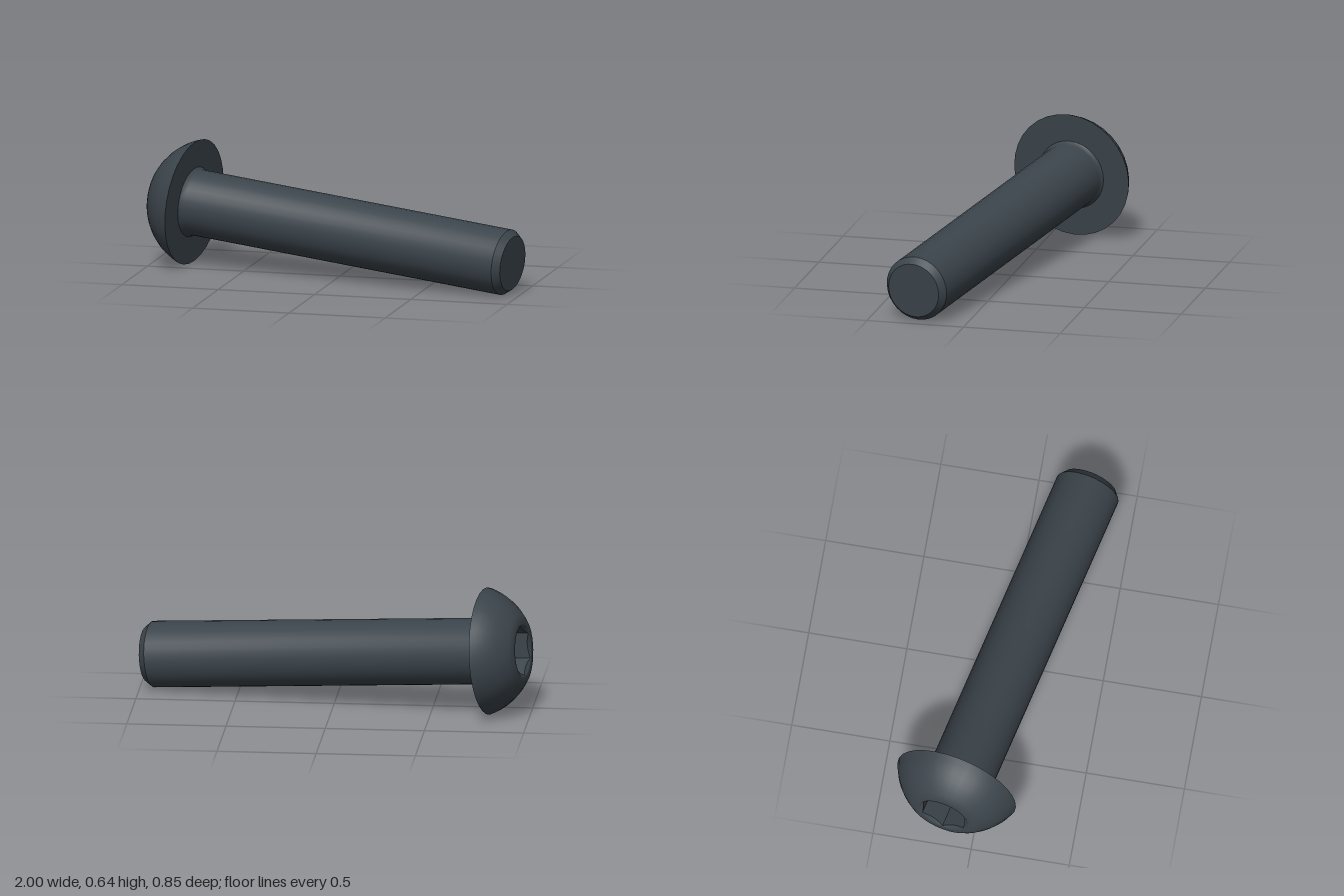
import * as THREE from 'three';
import { toCreasedNormals } from 'three/addons/utils/BufferGeometryUtils.js';

const SIDES = 32;
const HEAD_R = 0.32, HEAD_H = 0.183, FLAT_R = 0.165, RIM_R = 0.132;
const SHAFT_R = 0.167, LENGTH = 1.8;

const v2 = (r, y) => new THREE.Vector2(r, y);

// Lathe whose shallow edges are smooth and steep edges sharp
const turned = (profile) => toCreasedNormals(new THREE.LatheGeometry(profile, SIDES), 0.58);

// Hexagonal socket: chamfered mouth, six walls and a floor, built from rings
function socketGeometry() {
  const n = 96, corner = 0.128, depth = 0.115;
  const rings = [[], [], [], []];
  for (let i = 0; i <= n; i++) {
    const a = (i / n) * Math.PI * 2;
    const inSide = (a % (Math.PI / 3)) - Math.PI / 6;
    const hexR = (corner * Math.cos(Math.PI / 6)) / Math.cos(inSide);
    const at = (r, y) => new THREE.Vector3(r * Math.sin(a), y, r * Math.cos(a));
    rings[0].push(at(RIM_R, -HEAD_H));
    rings[1].push(at(hexR, -HEAD_H + (RIM_R - hexR) * 0.6));
    rings[2].push(at(hexR, -HEAD_H + depth));
    rings[3].push(at(0, -HEAD_H + depth));
  }
  const points = [];
  for (let k = 0; k < 3; k++) {
    for (let i = 0; i < n; i++) {
      const a = rings[k][i], b = rings[k][i + 1];
      const c = rings[k + 1][i], d = rings[k + 1][i + 1];
      points.push(a, c, b);
      if (k < 2) points.push(b, c, d);
    }
  }
  const geometry = new THREE.BufferGeometry().setFromPoints(points);
  geometry.computeVertexNormals();
  return toCreasedNormals(geometry, 0.5);
}

export function createModel() {
  const steel = new THREE.MeshStandardMaterial({ color: 0x3b444b });
  steel.name = 'dark steel';
  const socketSteel = steel.clone();
  socketSteel.name = 'dark steel socket';
  socketSteel.side = THREE.DoubleSide;

  const bolt = new THREE.Group();
  bolt.name = 'bolt';
  const add = (name, geometry, material = steel) => {
    const mesh = new THREE.Mesh(geometry, material);
    mesh.name = name;
    bolt.add(mesh);
  };

  // Button head: flat ring, spherical dome, flat underside
  const centre = (FLAT_R ** 2 + HEAD_H ** 2 - HEAD_R ** 2) / (2 * HEAD_H);
  const domeR = Math.hypot(HEAD_R, centre);
  const start = Math.asin(FLAT_R / domeR), end = Math.asin(HEAD_R / domeR);
  const head = [v2(RIM_R, -HEAD_H)];
  for (let i = 0; i <= 8; i++) {
    const a = start + ((end - start) * i) / 8;
    head.push(v2(domeR * Math.sin(a), -centre - domeR * Math.cos(a)));
  }
  head.push(v2(SHAFT_R, 0));
  add('head', turned(head));
  add('hexSocket', socketGeometry(), socketSteel);

  // Shaft: small fillet at the head, chamfer at the tip
  add('shaft', turned([
    v2(SHAFT_R + 0.012, 0), v2(SHAFT_R + 0.004, 0.008), v2(SHAFT_R, 0.024),
    v2(SHAFT_R, LENGTH - 0.035), v2(0.14, LENGTH), v2(0, LENGTH),
  ]));

  // Lay the bolt along its tilted axis
  const axis = new THREE.Vector3(0.974, -0.0865, 0.209).normalize();
  const up = new THREE.Vector3(0, 1, 0).addScaledVector(axis, -axis.y).normalize();
  const side = new THREE.Vector3().crossVectors(axis, up);
  bolt.quaternion.setFromRotationMatrix(new THREE.Matrix4().makeBasis(side, axis, up));
  bolt.position.set(-0.787, 0.32, -0.11);

  const model = new THREE.Group();
  model.name = 'buttonHeadBolt';
  model.add(bolt);
  return model;
}
